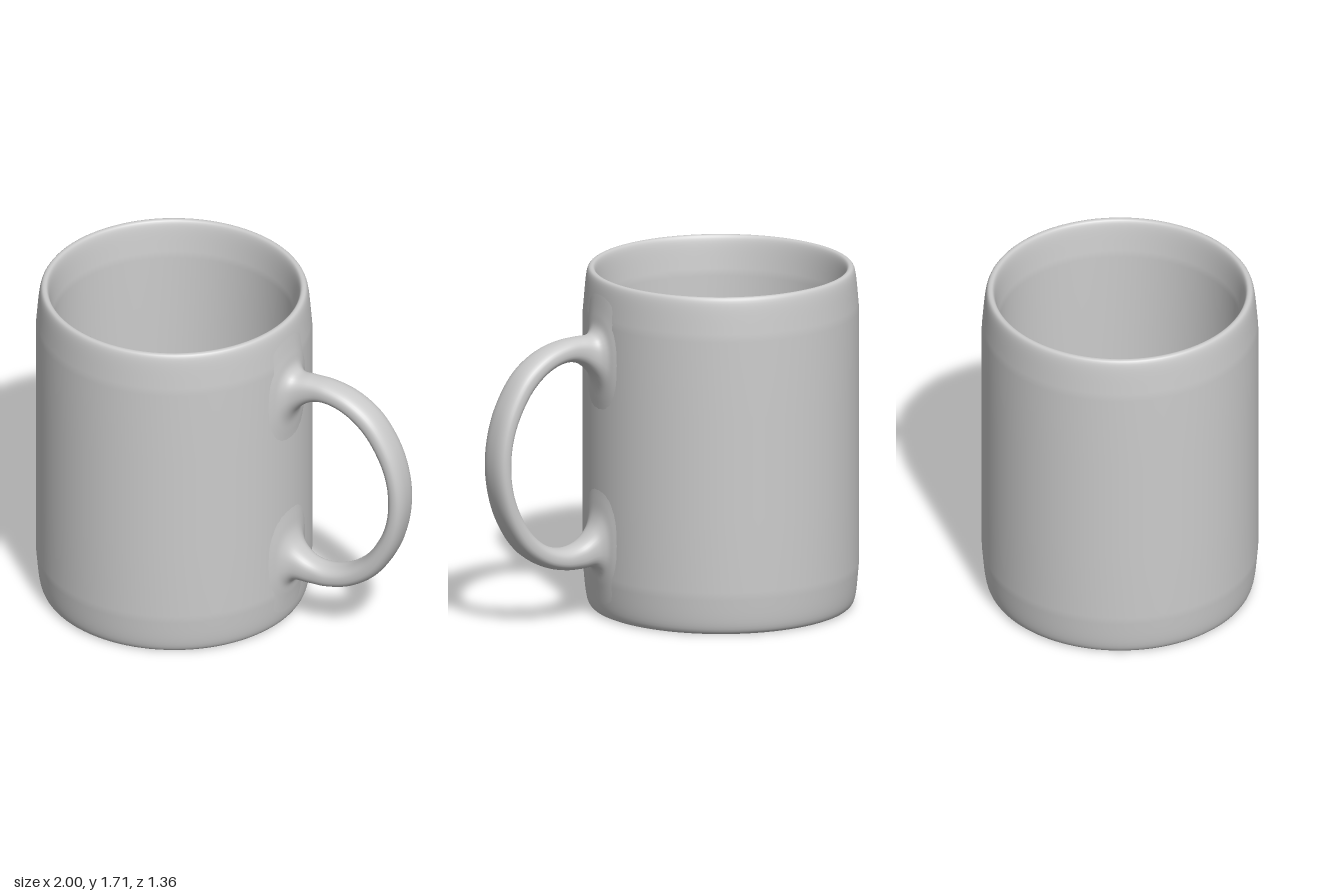
import * as THREE from 'three';

const material = new THREE.MeshStandardMaterial({ color: 0xcccccc, roughness: 0.6 });
const AXIS_X = -0.32, RADIUS = 0.68, HEIGHT = 1.71;
const HANDLE_Z = 0.085, MID_Y = 0.858;

// Hollow cup: one closed profile turned about the mug's axis
function makeBody() {
  const v = (x, y) => new THREE.Vector2(x, y);
  const curve = (...p) => new THREE.CubicBezierCurve(...p).getPoints(12);
  const H = HEIGHT;
  const profile = [
    v(0, 0), v(0.6, 0),
    ...curve(v(0.622, 0), v(0.665, 0), v(0.665, 0.05), v(0.68, 0.22)),
    v(0.68, 0.6), v(0.68, 1.1),
    ...curve(v(0.68, H - 0.22), v(0.665, H - 0.05), v(0.665, H), v(0.64, H)),
    ...curve(v(0.635, H), v(0.612, H), v(0.612, H - 0.05), v(0.595, H - 0.2)),
    v(0.593, 1.0), v(0.593, 0.4), v(0.593, 0.16),
    ...curve(v(0.593, 0.13), v(0.593, 0.105), v(0.585, 0.1), v(0.56, 0.1)),
    v(0.5, 0.1), v(0, 0.1),
  ];
  const body = new THREE.Mesh(new THREE.LatheGeometry(profile, 96), material);
  body.name = 'cup';
  body.position.x = AXIS_X;
  return body;
}

// Handle: rounded cross-sections between an outer and an inner outline
function makeHandle() {
  // outer x, outer y, inner x, inner y, half width (upper half, then mirrored)
  const upper = [
    [0.35, 1.64, 0.352, 0.98, 0.2],
    [0.363, 1.54, 0.364, 1.1, 0.15],
    [0.376, 1.475, 0.378, 1.19, 0.112],
    [0.405, 1.446, 0.41, 1.253, 0.085],
    [0.47, 1.445, 0.475, 1.31, 0.071],
    [0.57, 1.438, 0.56, 1.33, 0.073],
    [0.7, 1.4, 0.67, 1.3, 0.079],
    [0.83, 1.31, 0.775, 1.215, 0.083],
    [0.93, 1.16, 0.858, 1.08, 0.085],
    [0.98, 1.01, 0.895, 0.97, 0.086],
  ];
  const flip = ([ox, oy, ix, iy, w]) => [ox, 2 * MID_Y - oy, ix, 2 * MID_Y - iy, w];
  const stations = [...upper, [0.997, MID_Y, 0.905, MID_Y, 0.086], ...upper.map(flip).reverse()];
  const spline = (f) => new THREE.CatmullRomCurve3(stations.map(f));
  const outer = spline((s) => new THREE.Vector3(s[0], s[1], s[4]));
  const inner = spline((s) => new THREE.Vector3(s[2], s[3], s[4]));

  const rows = 120, sides = 32, positions = [], index = [];
  const round = (c) => Math.sign(c) * Math.pow(Math.abs(c), 0.82);
  for (let i = 0; i <= rows; i++) {
    const o = outer.getPoint(i / rows), n = inner.getPoint(i / rows);
    for (let j = 0; j < sides; j++) {
      const a = (j / sides) * Math.PI * 2;
      const k = 0.5 + 0.5 * round(Math.cos(a));
      const z = HANDLE_Z + o.z * round(Math.sin(a));
      const x = THREE.MathUtils.lerp(n.x, o.x, k);
      // bend the flared roots round the cup wall
      const wrap = 1 - THREE.MathUtils.smoothstep(x, 0.36, 0.5);
      const drop = RADIUS - Math.sqrt(RADIUS * RADIUS - z * z);
      positions.push(x - wrap * drop, THREE.MathUtils.lerp(n.y, o.y, k), z);
      if (i < rows) {
        const p = i * sides + j, q = i * sides + ((j + 1) % sides);
        index.push(p, q, p + sides, q, q + sides, p + sides);
      }
    }
  }
  const geometry = new THREE.BufferGeometry();
  geometry.setAttribute('position', new THREE.Float32BufferAttribute(positions, 3));
  geometry.setIndex(index);
  geometry.computeVertexNormals();
  const handle = new THREE.Mesh(geometry, material);
  handle.name = 'handle';
  return handle;
}

export function createModel() {
  const mug = new THREE.Group();
  mug.name = 'mug';
  mug.add(makeBody(), makeHandle());
  return mug;
}
